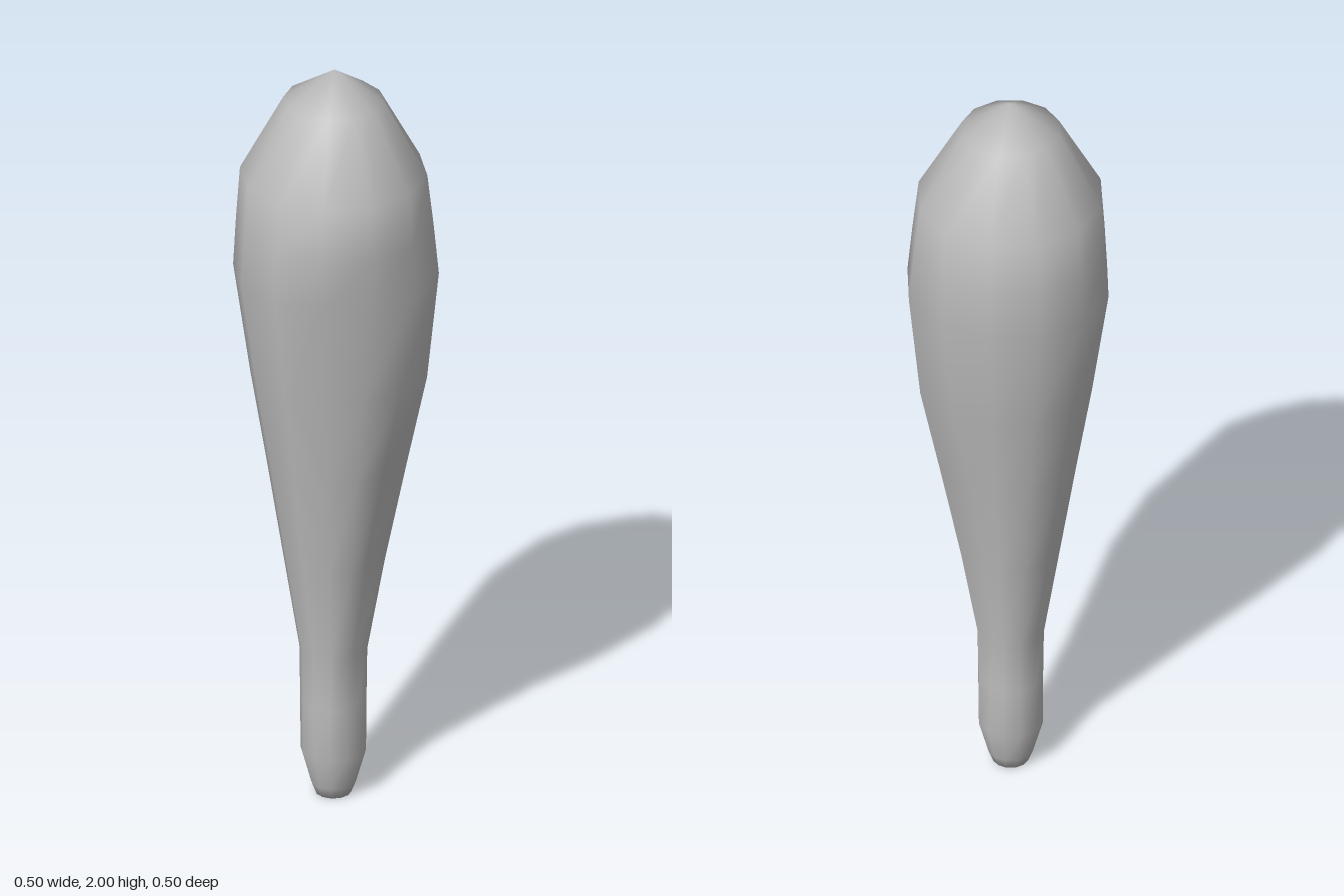
import * as THREE from 'three';

const SIDES = 12;
// height, radius, recess of the front-right hollow, depth of the two grooves
const RINGS = [
  [0.0, 0.045, 0, 0],
  [0.03, 0.057, 0, 0],
  [0.12, 0.082, 0, 0],
  [0.26, 0.083, 0, 0.012],
  [0.4, 0.085, 0.006, 0.02],
  [0.65, 0.125, 0.015, 0.026],
  [0.92, 0.168, 0.022, 0.018],
  [1.16, 0.208, 0.028, 0],
  [1.45, 0.25, 0.028, 0],
  [1.58, 0.243, 0, 0],
  [1.72, 0.233, 0, 0],
  [1.92, 0.125, 0, 0],
];

// Column k runs from the front (+z) round to the model's left (+x)
function radiusAt(k, [y, r, recess, groove]) {
  const grooved = k === 0 || k === 3;
  const hollow = k === 10 || k === 11;
  const swell = k === 1 || k === 2 ? 0.026 * Math.max(0, 1 - Math.abs(y - 1.16) / 0.6) : 0;
  return r + swell - (grooved ? groove : 0) - (hollow ? recess : 0);
}

function createClubGeometry() {
  const points = [];
  const index = [];
  for (const ring of RINGS) {
    for (let k = 0; k < SIDES; k++) {
      const a = (k / SIDES) * Math.PI * 2;
      const r = radiusAt(k, ring);
      points.push(Math.sin(a) * r, ring[0], Math.cos(a) * r);
    }
  }
  // Side walls
  for (let j = 0; j < RINGS.length - 1; j++) {
    for (let k = 0; k < SIDES; k++) {
      const a = j * SIDES + k;
      const b = j * SIDES + ((k + 1) % SIDES);
      index.push(a, b, b + SIDES, a, b + SIDES, a + SIDES);
    }
  }
  // Blunt foot and pointed crown
  const foot = points.length / 3;
  points.push(0, 0, 0, 0.005, 2, 0);
  const top = (RINGS.length - 1) * SIDES;
  for (let k = 0; k < SIDES; k++) {
    const n = (k + 1) % SIDES;
    index.push(foot, n, k, foot + 1, top + k, top + n);
  }
  const geometry = new THREE.BufferGeometry();
  geometry.setAttribute('position', new THREE.Float32BufferAttribute(points, 3));
  geometry.setIndex(index);
  geometry.computeVertexNormals();
  return geometry;
}

export function createModel() {
  const group = new THREE.Group();
  group.name = 'club';
  const grey = new THREE.MeshStandardMaterial({ color: 0xbcbcbc });
  grey.name = 'plain grey';
  const body = new THREE.Mesh(createClubGeometry(), grey);
  body.name = 'clubBody';
  group.add(body);
  return group;
}
